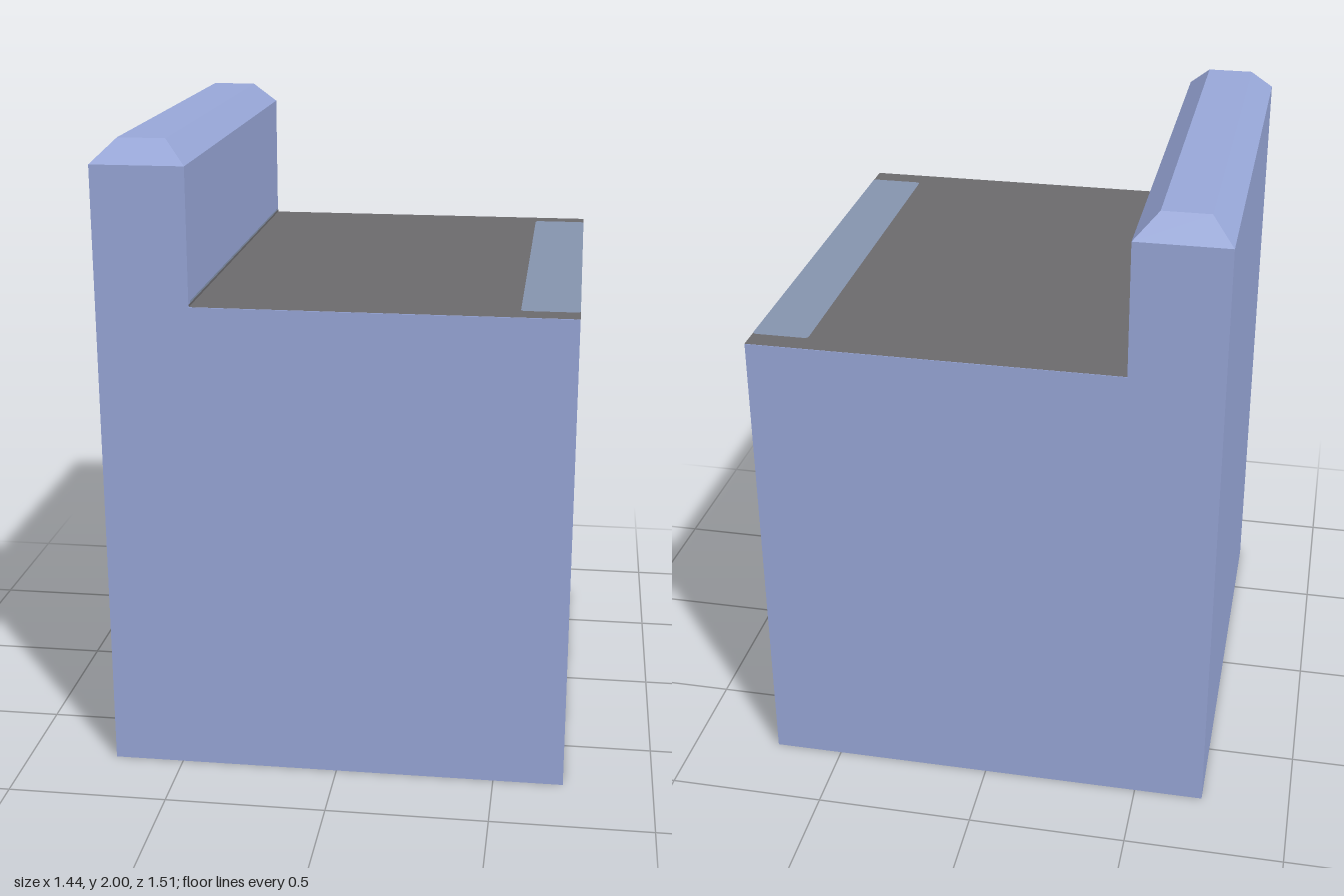
import * as THREE from 'three';

const mat = (name, color, side = THREE.FrontSide) => {
  const m = new THREE.MeshStandardMaterial({ color, side });
  m.name = name;
  return m;
};

// Outline of a rectangle with rounded corners, from (u0, v0) to (u1, v1)
function rounded(path, u0, v0, u1, v1, r) {
  path.moveTo(u0 + r, v0);
  path.lineTo(u1 - r, v0);
  path.quadraticCurveTo(u1, v0, u1, v1 === v0 ? v0 : v0 + r);
  path.lineTo(u1, v1 - r);
  path.quadraticCurveTo(u1, v1, u1 - r, v1);
  path.lineTo(u0 + r, v1);
  path.quadraticCurveTo(u0, v1, u0, v1 - r);
  path.lineTo(u0, v0 + r);
  path.quadraticCurveTo(u0, v0, u0 + r, v0);
  return path;
}
const panel = (u0, v0, u1, v1, r = 0.001) => rounded(new THREE.Shape(), u0, v0, u1, v1, r);
const ring = (outer, inner) => {
  const s = panel(...outer);
  s.holes.push(rounded(new THREE.Path(), ...inner));
  return s;
};

export function createModel() {
  const group = new THREE.Group();
  const enamel = mat('blueEnamel', 0x98a7d8);
  const dark = mat('darkGrey', 0x6b6a6d);
  const slate = mat('slateBlue', 0x8594ae);
  const silver = mat('silver', 0xb8b8b8);
  const glass = mat('rustGlass', 0xab755b);

  const X = 0.72, Z = 0.755, TOP = 1.51, BACK = -0.435, SHOULDER = 1.93;
  const add = (name, geo, material) => {
    const m = new THREE.Mesh(geo, material);
    m.name = name;
    group.add(m);
    return m;
  };
  // Thin face on the oven side (+x); u runs toward -z, v is height
  const face = (name, shape, material, layer = 1, x = X) =>
    add(name, new THREE.ShapeGeometry(shape, 5).rotateY(Math.PI / 2).translate(x + layer * 0.0012, 0, 0), material);

  // Body with raised backguard, extruded across the width
  const profile = new THREE.Shape([
    [-X, 0], [X, 0], [X, TOP], [BACK, TOP], [BACK, SHOULDER], [-X, SHOULDER],
  ].map(([x, y]) => new THREE.Vector2(x, y)));
  add('body', new THREE.ExtrudeGeometry(profile, { depth: 2 * Z, bevelEnabled: false }).translate(0, 0, -Z), enamel);

  // Chamfered cap: a box whose top edge is drawn in
  const cap = new THREE.BoxGeometry(BACK + X, 0.07, 2 * Z);
  const p = cap.attributes.position;
  for (let i = 0; i < p.count; i++) {
    if (p.getY(i) > 0) {
      p.setX(i, p.getX(i) - Math.sign(p.getX(i)) * 0.07);
      p.setZ(i, p.getZ(i) - Math.sign(p.getZ(i)) * 0.07);
    }
  }
  cap.computeVertexNormals();
  add('backguardCap', cap.translate((BACK - X) / 2, SHOULDER + 0.035, 0), enamel);

  // Cooktop and its front strip
  const flat = (name, shape, material, y) =>
    add(name, new THREE.ShapeGeometry(shape, 5).rotateX(-Math.PI / 2).translate(0, y, 0), material);
  flat('cooktop', panel(BACK, -Z, X, Z), dark, TOP + 0.0012);
  flat('cooktopStrip', panel(0.545, -0.68, X, 0.685, 0.015), slate, TOP + 0.0024);
  face('backguardSeam', panel(-Z, TOP, Z, 1.519), dark, 1, BACK);
  face('backguardSeamEdge', panel(-Z + 0.02, 1.519, Z - 0.02, 1.526), slate, 1, BACK);

  // Control panel with knobs and small marks between them
  face('controlPanel', panel(-Z, 1.292, Z, TOP), dark);
  face('controlPanelEdge', panel(-Z, 1.281, Z, 1.292), slate);
  [-0.575, -0.35, -0.11, 0.115, 0.355, 0.58].forEach((u) => {
    const s = new THREE.Shape();
    s.absarc(u, 1.415, 0.056, 0, Math.PI * 2);
    add('knob', new THREE.ShapeGeometry(s, 12).rotateY(Math.PI / 2).translate(X + 0.0024, 0, 0), silver);
  });
  [-0.46, -0.23, 0.005, 0.235, 0.47].forEach((u, i) => {
    const big = i % 2 === 1;
    const y = big ? 1.465 : 1.478, w = big ? 0.02 : 0.011, h = big ? 0.026 : 0.018;
    face('knobMark', new THREE.Shape([[u - w, y], [u, y - h], [u + w, y], [u, y + h]]
      .map(([a, b]) => new THREE.Vector2(a, b))), slate, 2);
    face('knobMarkTop', panel(u - 0.018, 1.498, u + 0.018, 1.506), slate, 2);
  });

  // Oven door frame, with lighter trim on both sides of the dark band
  const outer = [-0.64, 0.115, 0.635, 1.155, 0.025];
  const inner = [-0.575, 0.18, 0.585, 1.085, 0.025];
  face('doorFrame', ring(outer, inner), dark, 2);
  face('doorOuterTrim', ring([-0.655, 0.12, 0.65, 1.152, 0.03], [-0.63, 0.13, 0.625, 1.14, 0.03]), slate);
  face('doorInnerTrim', ring([-0.58, 0.175, 0.59, 1.09, 0.02], [-0.556, 0.193, 0.556, 1.074, 0.04]), slate);

  // Door handle
  face('handleEdge', panel(-0.523, 0.967, 0.532, 1.05, 0.008), slate);
  face('handle', panel(-0.508, 0.972, 0.532, 1.055, 0.004), dark, 2);

  // Oven window
  face('windowEdge', panel(-0.433, 0.565, 0.433, 0.925, 0.015), slate);
  face('windowFrame', panel(-0.422, 0.565, 0.432, 0.93, 0.012), dark, 2);
  face('windowGlass', panel(-0.37, 0.622, 0.37, 0.87, 0.035), glass, 3);

  return group;
}
